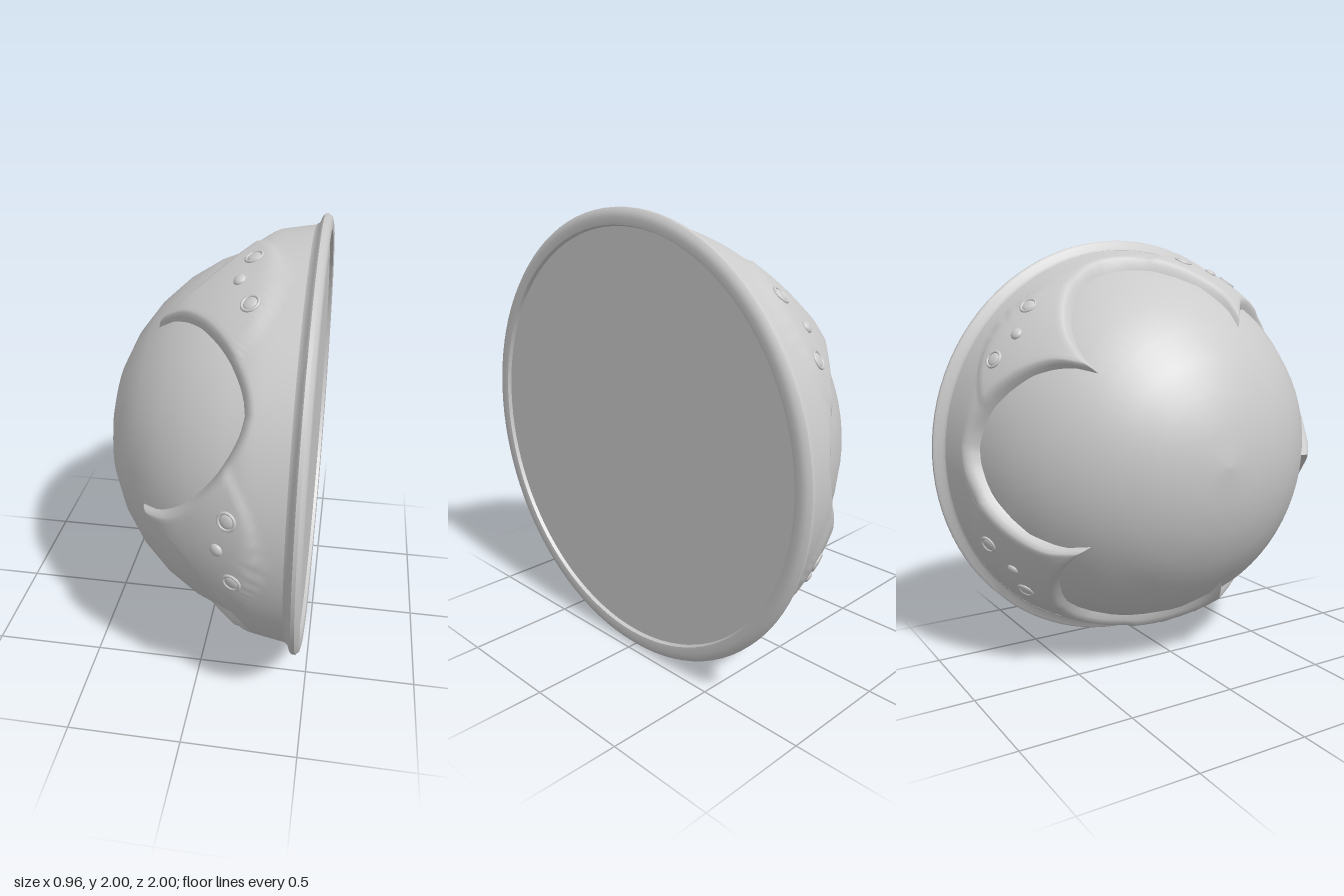
import * as THREE from 'three';
import { toCreasedNormals } from 'three/addons/utils/BufferGeometryUtils.js';

const TIPS = 5, PITCH = 72, START = -4; // points of the crown band, degrees
const { lerp, smoothstep, degToRad } = THREE.MathUtils;
const mat = new THREE.MeshStandardMaterial({ color: 0xcccccc, side: THREE.DoubleSide });

// Linear lookup in a short table of [key, value]
function lookup(table, k) {
  for (let i = 1; i < table.length; i++) {
    const [k0, v0] = table[i - 1], [k1, v1] = table[i];
    if (k <= k1) return lerp(v0, v1, Math.max(0, (k - k0) / (k1 - k0)));
  }
  return table[table.length - 1][1];
}

// Smooth curve through points, sampled into a lookup table
const smooth = (pts) => new THREE.SplineCurve(pts.map(p => new THREE.Vector2(...p)))
  .getPoints(80).map(p => [p.x, p.y]);

// Scalloped edge: angle from the nearest tip -> x
const EDGE = smooth([[0, -0.21], [4, -0.1], [10, 0], [18, 0.1], [25, 0.165], [31, 0.205], [36, 0.22]]);
// Band surface: x -> radius
const BAND = smooth([[-0.21, 0.665], [-0.1, 0.765], [0, 0.825], [0.1, 0.875], [0.2, 0.915], [0.26, 0.932], [0.41, 0.957]]);

const domeRadius = (x) => Math.sqrt(Math.max(0, 0.88 ** 2 - (x - 0.4) ** 2));

// Band radius plus the gently raised panel under each tip
function bandRadius(x, d) {
  const border = 0.31 - 0.05 * (d / 14) ** 2;
  return lookup(BAND, x) + 0.01 * (smoothstep(border - x, 0, 0.03) - 0.5);
}

// Point on the shell: the axis runs along x at y = 1
function at(x, r, deg) {
  const a = degToRad(deg);
  return new THREE.Vector3(x, 1 + r * Math.sin(a), r * Math.cos(a));
}

function mesh(name, geometry) {
  const m = new THREE.Mesh(geometry, mat);
  m.name = name;
  return m;
}

// Profile of [x, radius] turned around the x axis
function turned(profile, segments) {
  const g = new THREE.LatheGeometry(profile.map(([x, r]) => new THREE.Vector2(r, x)), segments);
  return g.rotateZ(-Math.PI / 2).translate(0, 1, 0);
}

function bandGeometry() {
  const half = 32, rows = 18, pos = [], index = [];
  const cols = TIPS * half * 2;
  for (let t = 0; t < TIPS; t++) for (let k = -half; k < half; k++) {
    const d = Math.sign(k) * (PITCH / 2) * (Math.abs(k) / half) ** 1.6;
    const deg = START + t * PITCH + d;
    const x0 = lookup(EDGE, Math.abs(d));
    // rounded lip rising from the dome
    [[0, -0.15], [0.006, 0.5], [0.018, 0.88]].forEach(([dx, f]) => {
      const x = x0 + dx;
      pos.push(...at(x, lerp(domeRadius(x), bandRadius(x, d), f), deg).toArray());
    });
    // outer surface up to the rim
    for (let j = 0; j < rows - 3; j++) {
      const x = lerp(x0 + 0.035, 0.41, j / (rows - 4));
      pos.push(...at(x, bandRadius(x, d), deg).toArray());
    }
  }
  for (let i = 0; i < cols; i++) for (let j = 0; j < rows - 1; j++) {
    const a = i * rows + j, c = ((i + 1) % cols) * rows + j;
    index.push(a, a + 1, c, a + 1, c + 1, c);
  }
  const g = new THREE.BufferGeometry();
  g.setAttribute('position', new THREE.Float32BufferAttribute(pos, 3));
  g.setIndex(index);
  g.computeVertexNormals();
  return g;
}

// Group lying on the band with its z axis along the surface normal
function onBand(name, x, d, tip) {
  const deg = START + tip * PITCH + d, e = 0.02;
  const slope = (bandRadius(x + e, d) - bandRadius(x - e, d)) / (2 * e);
  const g = new THREE.Group();
  g.name = name;
  g.position.copy(at(x, bandRadius(x, d), deg));
  const normal = at(-slope, 1, deg).sub(new THREE.Vector3(0, 1, 0)).normalize();
  g.quaternion.setFromUnitVectors(new THREE.Vector3(0, 0, 1), normal);
  return g;
}

export function createModel() {
  const model = new THREE.Group();
  model.name = 'domedShell';

  // Dome
  const dome = [];
  for (let i = 0; i <= 8; i++) {
    const a = degToRad(i * 10.5);
    dome.push([0.4 - 0.88 * Math.cos(a), 0.88 * Math.sin(a)]);
  }
  model.add(mesh('dome', turned(dome, 64)));

  // Crown band with five points
  model.add(mesh('crownBand', bandGeometry()));

  // Flared rim and the flat back plate
  const rim = turned([[0.405, 0.953], [0.42, 0.963], [0.43, 0.99], [0.44, 1], [0.455, 1],
    [0.47, 0.985], [0.476, 0.96], [0.472, 0.93], [0.44, 0.918]], 96);
  model.add(mesh('rim', toCreasedNormals(rim, 0.7)));
  model.add(mesh('backPlate', new THREE.CircleGeometry(0.93, 64).rotateY(Math.PI / 2).translate(0.456, 1, 0)));

  // Ringed studs and a small knob on each panel
  const ring = new THREE.TorusGeometry(0.036, 0.007, 8, 24);
  const cap = new THREE.SphereGeometry(0.03, 20, 10).scale(1, 1, 0.3);
  const knob = new THREE.SphereGeometry(0.028, 16, 10).scale(1, 1, 0.55);
  for (let t = 0; t < TIPS; t++) {
    for (const [x, d] of [[0.18, 10.2], [0.2, -8]]) {
      const stud = onBand('stud', x, d, t);
      stud.add(mesh('studRing', ring), mesh('studCap', cap));
      model.add(stud);
    }
    const centre = onBand('panelKnob', 0.14, 1.2, t);
    centre.add(mesh('knob', knob));
    model.add(centre);
  }
  return model;
}
